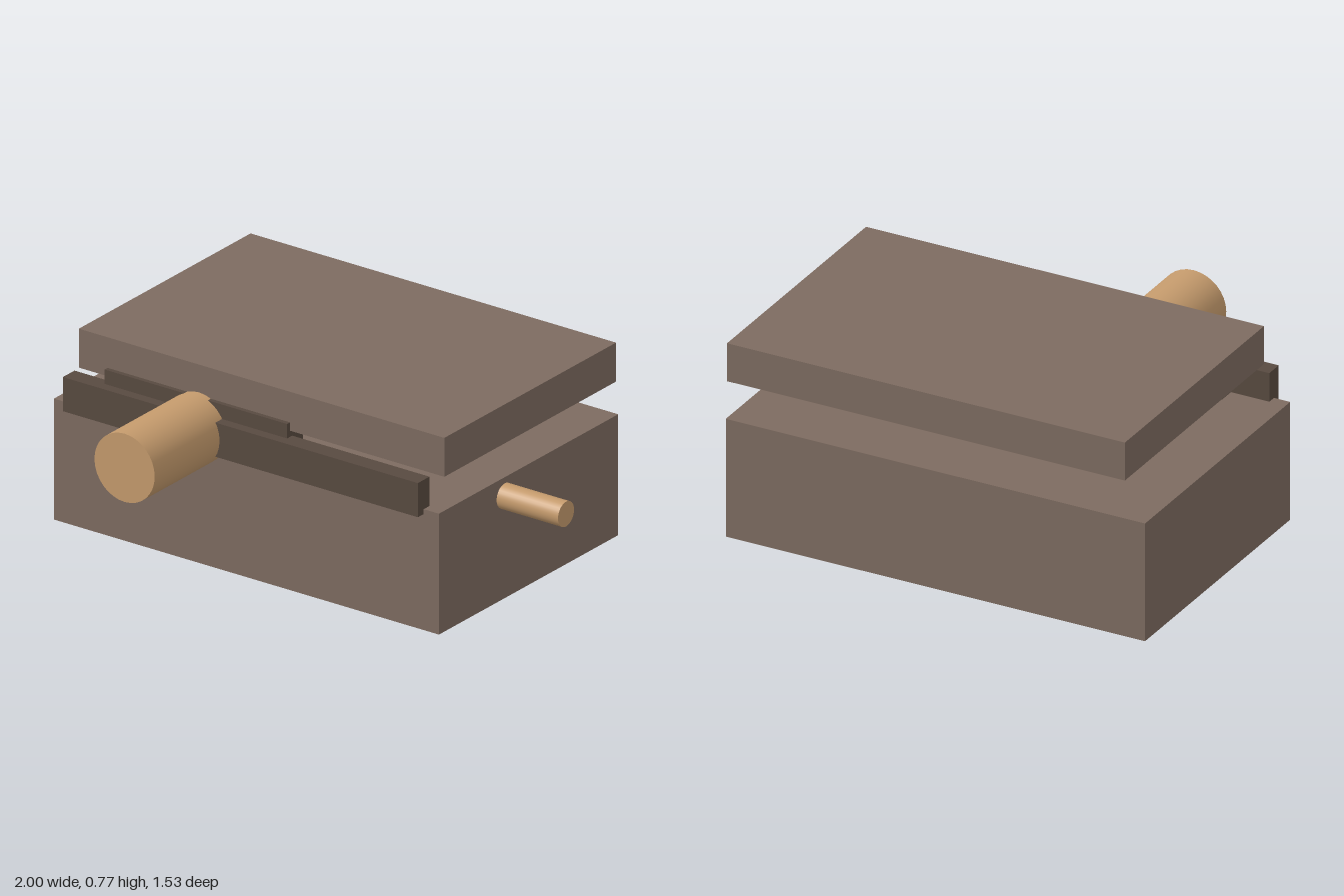
import * as THREE from 'three';

export function createModel() {
  const model = new THREE.Group();
  const brown = new THREE.MeshStandardMaterial({ color: 0x7d6b60 });
  const dark = new THREE.MeshStandardMaterial({ color: 0x584a40 });
  const tan = new THREE.MeshStandardMaterial({ color: 0xc49a6c });

  // Box given by its extents on each axis
  function box(name, [x0, x1], [y0, y1], [z0, z1], material) {
    const mesh = new THREE.Mesh(new THREE.BoxGeometry(x1 - x0, y1 - y0, z1 - z0), material);
    mesh.position.set((x0 + x1) / 2, (y0 + y1) / 2, (z0 + z1) / 2);
    mesh.name = name;
    model.add(mesh);
  }

  // Round bar between two points
  function rod(name, from, to, radius, material) {
    const a = new THREE.Vector3(...from);
    const b = new THREE.Vector3(...to);
    const mesh = new THREE.Mesh(new THREE.CylinderGeometry(radius, radius, a.distanceTo(b), 32), material);
    mesh.position.copy(a).lerp(b, 0.5);
    mesh.quaternion.setFromUnitVectors(new THREE.Vector3(0, 1, 0), b.sub(a).normalize());
    mesh.name = name;
    model.add(mesh);
  }

  // Main block and the slab floating above it
  box('body', [-1, 0.725], [0, 0.478], [-0.763, 0.331], brown);
  box('topSlab', [-0.904, 0.733], [0.618, 0.772], [-0.739, 0.309], brown);

  // Dark rails along the front edge
  box('frontRail', [-0.933, 0.657], [0.459, 0.594], [0.296, 0.367], dark);
  box('innerRail', [-0.775, 0.042], [0.46, 0.651], [0.229, 0.327], dark);

  // Front barrel and side handle
  rod('barrel', [-0.366, 0.527, -0.055], [-0.366, 0.527, 0.763], 0.135, tan);
  rod('sideHandle', [0.7, 0.405, -0.07], [1, 0.405, -0.07], 0.049, tan);

  return model;
}
